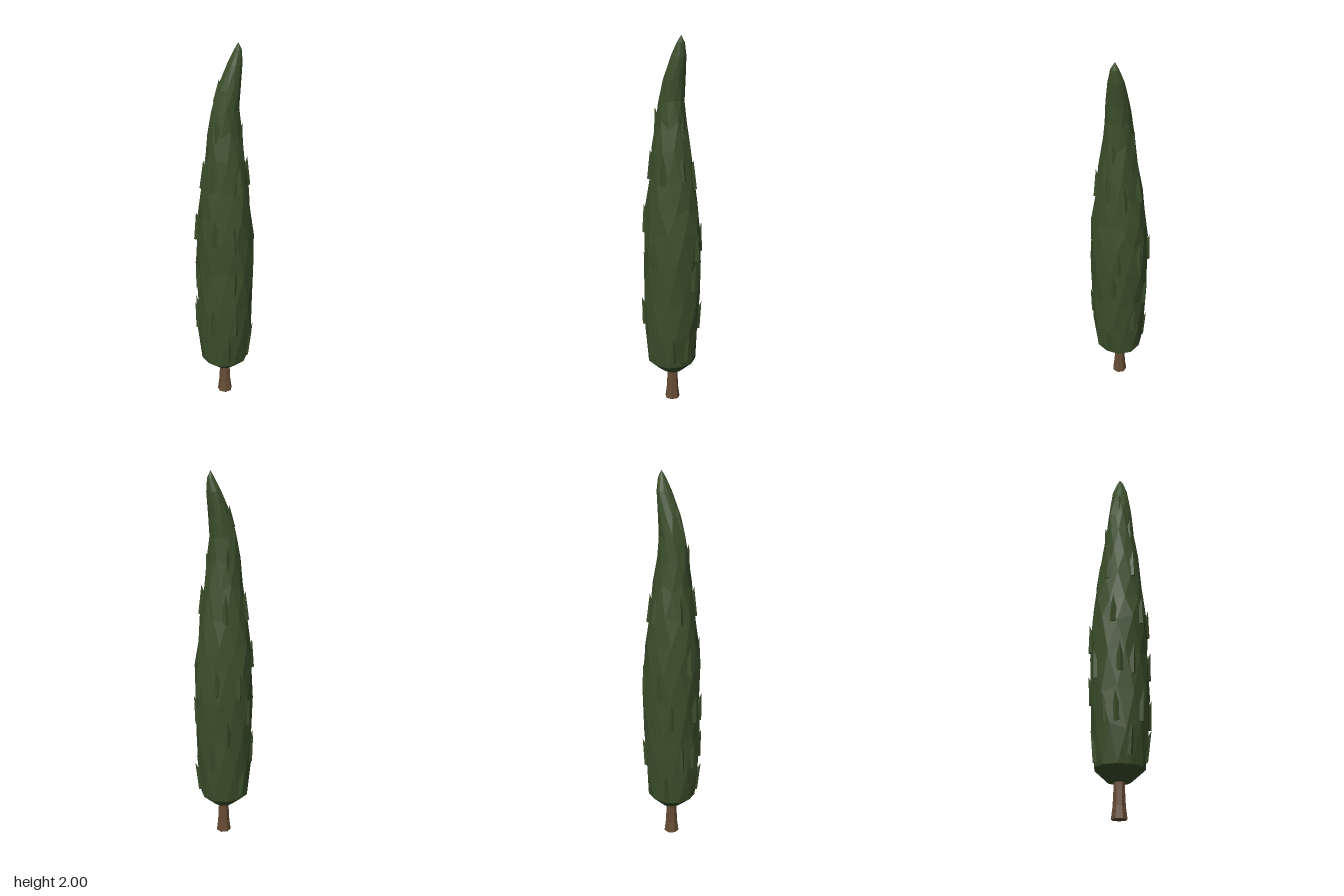
import * as THREE from 'three';

// Foliage cross-sections: height, x min, x max, z min, z max
const RINGS = [
  [0.18, -0.06, 0.06, -0.06, 0.06],
  [0.24, -0.132, 0.125, -0.125, 0.128],
  [0.42, -0.15, 0.145, -0.138, 0.15],
  [0.61, -0.152, 0.15, -0.147, 0.152],
  [0.82, -0.152, 0.156, -0.153, 0.15],
  [1.0, -0.152, 0.152, -0.145, 0.147],
  [1.12, -0.14, 0.136, -0.137, 0.14],
  [1.27, -0.122, 0.12, -0.115, 0.12],
  [1.43, -0.098, 0.1, -0.091, 0.104],
  [1.56, -0.088, 0.08, -0.072, 0.083],
  [1.68, -0.07, 0.07, -0.06, 0.07],
  [1.78, -0.04, 0.075, -0.055, 0.06],
  [1.9, 0.012, 0.086, -0.046, 0.033],
  [1.965, 0.045, 0.082, -0.028, 0.012],
];
const SIDES = 11;

// Point on the foliage surface at a height and compass angle (0 = front, 90 = +x)
function surfacePoint(y, angle, scale = 1) {
  let i = 0;
  while (i < RINGS.length - 2 && RINGS[i + 1][0] < y) i++;
  const a = RINGS[i], b = RINGS[i + 1];
  const t = THREE.MathUtils.clamp((y - a[0]) / (b[0] - a[0]), 0, 1);
  const [, x0, x1, z0, z1] = a.map((v, k) => v + (b[k] - v) * t);
  return new THREE.Vector3(
    (x0 + x1) / 2 + Math.sin(angle) * scale * (x1 - x0) / 2,
    y,
    (z0 + z1) / 2 + Math.cos(angle) * scale * (z1 - z0) / 2
  );
}

// Lofted crown with staggered, slightly uneven rings
function crownGeometry() {
  const pos = [], index = [];
  RINGS.forEach(([y], j) => {
    for (let i = 0; i < SIDES; i++) {
      const angle = ((i + (j % 2) * 0.5) / SIDES) * Math.PI * 2;
      const p = surfacePoint(y, angle, 1.01 + 0.025 * Math.sin(i * 4.3 + j * 2.7));
      const lift = j > 1 && j < 11 ? 0.018 * Math.sin(i * 2.9 + j * 5.1) : 0;
      pos.push(p.x, y + lift, p.z);
    }
  });
  for (let j = 0; j < RINGS.length - 1; j++) {
    for (let i = 0; i < SIDES; i++) {
      const n = (i + 1) % SIDES;
      const a = j * SIDES + i, b = j * SIDES + n, c = a + SIDES, d = b + SIDES;
      if (j % 2) index.push(a, b, d, a, d, c);
      else index.push(a, b, c, b, d, c);
    }
  }
  // Bottom and tip
  const bottom = pos.length / 3, tip = bottom + 1, last = (RINGS.length - 1) * SIDES;
  pos.push(0, 0.175, 0, 0.065, 2, -0.01);
  for (let i = 0; i < SIDES; i++) {
    const n = (i + 1) % SIDES;
    index.push(bottom, n, i, last + i, last + n, tip);
  }
  const g = new THREE.BufferGeometry();
  g.setAttribute('position', new THREE.Float32BufferAttribute(pos, 3));
  g.setIndex(index);
  const flat = g.toNonIndexed();
  flat.computeVertexNormals();
  return flat;
}

// Sprig tips: height and compass angle in degrees
const SPRIGS = [
  [0.43, 3], [0.43, 62], [0.43, 95], [0.42, 215], [0.44, 305],
  [0.6, 17], [0.6, -85], [0.58, 150], [0.6, 250], [0.61, -30],
  [0.74, 180], [0.84, 105], [0.86, 12], [0.86, -76], [0.85, -50], [0.84, 230],
  [1.0, 115], [1.0, 205], [1.1, 12], [1.14, -26], [1.13, 270], [1.02, 160],
  [1.42, -40], [1.43, 88], [1.4, 178], [1.38, 130], [1.4, 250], [1.41, 35],
  [1.64, -35], [1.63, 185], [1.6, 100], [1.83, -80],
];

export function createModel() {
  const green = new THREE.MeshStandardMaterial({ color: 0x3b4f2b, flatShading: true });
  green.name = 'cypress green';
  const brown = new THREE.MeshStandardMaterial({ color: 0x664c35, flatShading: true });
  brown.name = 'bark brown';

  const tree = new THREE.Group();
  tree.name = 'cypressTree';

  // Trunk with a flared foot
  const profile = [[0, 0], [0.041, 0], [0.033, 0.06], [0.029, 0.14], [0.028, 0.24], [0, 0.24]];
  const trunk = new THREE.Mesh(
    new THREE.LatheGeometry(profile.map(([r, y]) => new THREE.Vector2(r, y)), 7), brown);
  trunk.name = 'trunk';
  tree.add(trunk);

  const crown = new THREE.Mesh(crownGeometry(), green);
  crown.name = 'foliage';
  tree.add(crown);

  // Upright pointed sprigs lying against the foliage
  const sprigs = new THREE.Group();
  sprigs.name = 'sprigs';
  const up = new THREE.Vector3(0, 1, 0);
  SPRIGS.forEach(([y, degrees], i) => {
    const angle = THREE.MathUtils.degToRad(degrees);
    const size = y > 1.5 ? 0.75 : 1;
    const outward = new THREE.Vector3(Math.sin(angle), 0, Math.cos(angle));
    const tip = surfacePoint(y, angle).addScaledVector(outward, 0.013);
    const base = surfacePoint(y - 0.15 * size, angle).addScaledVector(outward, -0.022);
    const axis = tip.clone().sub(base);
    const sprig = new THREE.Mesh(
      new THREE.ConeGeometry(0.034 * size, axis.length(), 4).rotateY(angle), green);
    sprig.name = 'sprig' + (i + 1);
    sprig.position.copy(base).add(tip).multiplyScalar(0.5);
    sprig.quaternion.setFromUnitVectors(up, axis.normalize());
    sprigs.add(sprig);
  });
  tree.add(sprigs);
  return tree;
}
